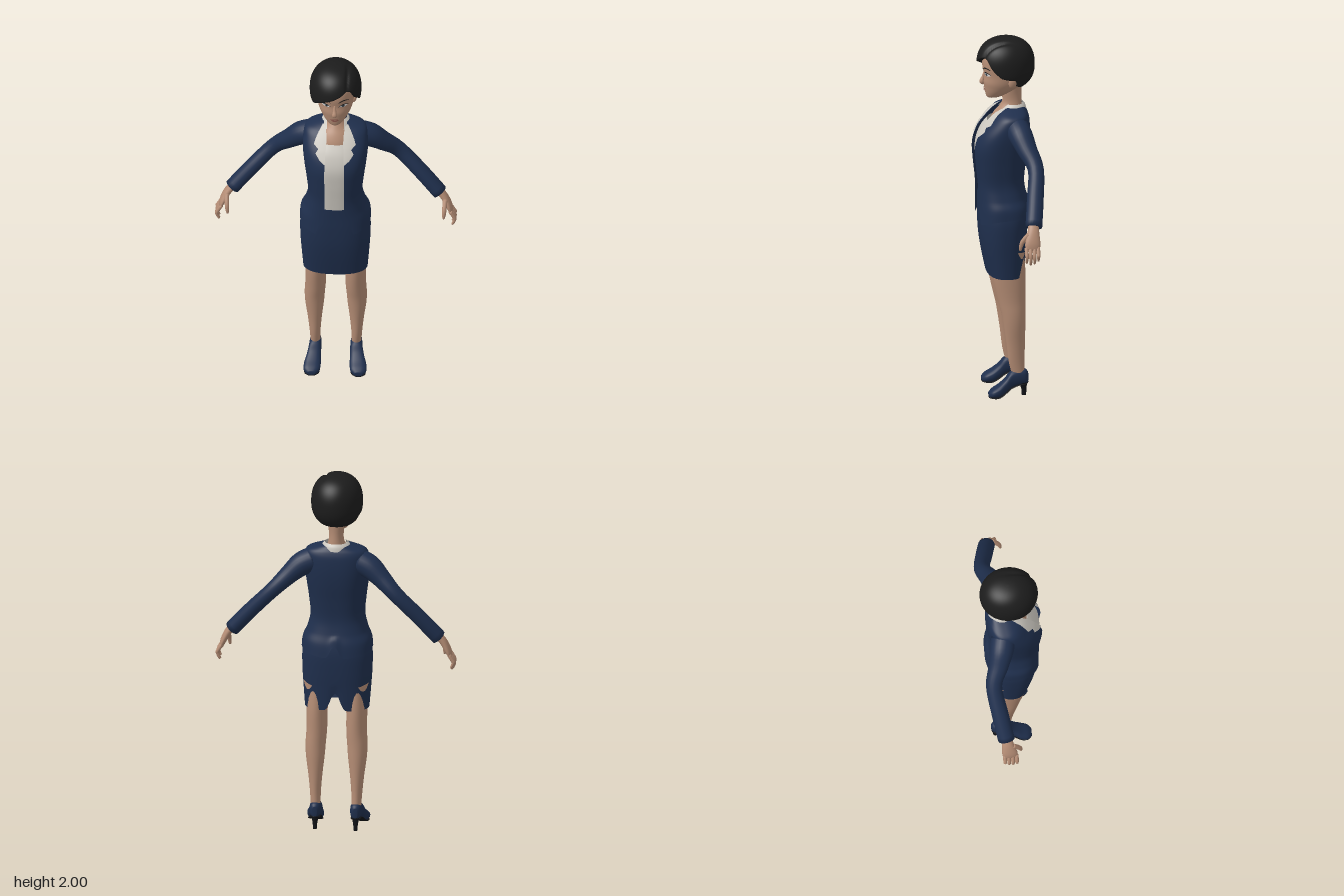
import * as THREE from 'three';

const mat = (name, color) => {
  const m = new THREE.MeshStandardMaterial({ color, side: THREE.DoubleSide });
  m.name = name;
  return m;
};
const V = (x, y, z) => new THREE.Vector3(x, y, z);
const spow = (v, p) => Math.sign(v) * Math.abs(v) ** p;

// Catmull-Rom smoothing of a table of cross-section numbers
function smooth(rows, k = 5) {
  const out = [];
  for (let i = 0; i < rows.length - 1; i++) {
    const [a, b, c, d] = [rows[Math.max(i - 1, 0)], rows[i], rows[i + 1], rows[Math.min(i + 2, rows.length - 1)]];
    for (let j = 0; j < k; j++) {
      const t = j / k;
      out.push(b.map((p, n) => 0.5 * (2 * p + (c[n] - a[n]) * t + (2 * a[n] - 5 * p + 4 * c[n] - d[n]) * t * t
        + (3 * p - a[n] - 3 * c[n] + d[n]) * t ** 3)));
    }
  }
  out.push(rows[rows.length - 1]);
  return out;
}

// Surface through rows of points, optionally closed around and capped at the ends
function surface(rows, closed = false, caps = false) {
  const n = rows[0].length, pos = rows.flat().flatMap(p => [p.x, p.y, p.z]), idx = [];
  for (let i = 0; i < rows.length - 1; i++) {
    for (let j = 0; j < (closed ? n : n - 1); j++) {
      const a = i * n + j, b = i * n + (j + 1) % n;
      idx.push(a, b, b + n, a, b + n, a + n);
    }
  }
  if (caps) for (const end of [0, rows.length - 1]) {
    const mid = rows[end].reduce((s, p) => s.add(p), V(0, 0, 0)).divideScalar(n);
    const c = pos.length / 3;
    pos.push(mid.x, mid.y, mid.z);
    for (let j = 0; j < n; j++) {
      const a = end * n + j, b = end * n + (j + 1) % n;
      idx.push(...(end ? [a, b, c] : [b, a, c]));
    }
  }
  const g = new THREE.BufferGeometry();
  g.setAttribute('position', new THREE.Float32BufferAttribute(pos, 3));
  g.setIndex(idx);
  g.computeVertexNormals();
  return g;
}

// Upright body: rows of [y, half width, front z, back z], rounded-square exponent n
const body = (rows, n = 2.3) => ({ rows: smooth(rows), n });
const ringPoint = ([y, rx, zf, zb], a, n) =>
  V(rx * spow(Math.sin(a), 2 / n), y, (zf + zb) / 2 + (zf - zb) / 2 * spow(Math.cos(a), 2 / n));
function hull({ rows, n }, { gap, rise, caps = false, seg = 96 } = {}) {
  const y0 = rows[0][0];
  return surface(rows.map(r => {
    const a0 = gap ? Math.asin(Math.min(1, gap(r[0]) / r[1]) ** (n / 2)) : 0;
    const pts = [];
    for (let j = 0; j < (gap ? seg + 1 : seg); j++) {
      const a = a0 + (2 * Math.PI - 2 * a0) * j / seg, p = ringPoint(r, a, n);
      if (rise) p.y += rise(a) * Math.max(0, 1 - (r[0] - y0) / 0.15);
      pts.push(p);
    }
    return pts;
  }), !gap, caps);
}
function sample({ rows }, y) {
  let i = 0;
  while (i < rows.length - 2 && rows[i + 1][0] < y) i++;
  const t = THREE.MathUtils.clamp((y - rows[i][0]) / (rows[i + 1][0] - rows[i][0]), 0, 1);
  return rows[i].map((v, k) => v + (rows[i + 1][k] - v) * t);
}

// Thin strip between two edges of [x, y] points, draped on the front of a body
function drape(b, edgeA, edgeB, off) {
  return surface(edgeA.map((p, i) => Array.from({ length: 7 }, (_, j) => {
    const x = THREE.MathUtils.lerp(p[0], edgeB[i][0], j / 6), y = THREE.MathUtils.lerp(p[1], edgeB[i][1], j / 6);
    const [, rx, zf, zb] = sample(b, y);
    const d = Math.max(0, 1 - Math.min(1, Math.abs(x / rx)) ** b.n) ** (1 / b.n);
    return V(x, y, (zf + zb) / 2 + (zf - zb) / 2 * d + off);
  })));
}
function lens(b, cx, cy, w, up, down, off) {
  const ts = Array.from({ length: 13 }, (_, i) => i / 6 - 1);
  const edge = h => ts.map(t => [cx + w * t, cy + h * (1 - t * t)]);
  return drape(b, edge(-down), edge(up), off);
}

// Limb along rows of [x, y, z, in-plane radius, z radius]
function limb(points, seg = 24) {
  const rows = smooth(points, 4), P = rows.map(r => V(r[0], r[1], r[2]));
  return surface(rows.map((r, i) => {
    const t = P[Math.min(i + 1, P.length - 1)].clone().sub(P[Math.max(i - 1, 0)]).normalize();
    const u = V(0, 0, 1).addScaledVector(t, -t.z).normalize(), v = t.clone().cross(u);
    return Array.from({ length: seg }, (_, j) => {
      const a = j / seg * 2 * Math.PI;
      return P[i].clone().addScaledVector(u, Math.cos(a) * r[4]).addScaledVector(v, Math.sin(a) * r[3]);
    });
  }), true, true);
}

// Shoe form along z: rows of [z, half width, bottom, top, centre x]
const shoeForm = (rows, s) => surface(smooth(rows, 5).map(([z, w, lo, hi, cx]) => Array.from({ length: 24 }, (_, j) => {
  const a = j / 24 * 2 * Math.PI;
  return V(s * cx - w * spow(Math.sin(a), 0.8), (lo + hi) / 2 + (hi - lo) / 2 * spow(Math.cos(a), 0.8), z);
})), true, true);

export function createModel() {
  const root = new THREE.Group();
  const skin = mat('skin', 0xb58d75), navy = mat('navy cloth', 0x1f2f4d), cream = mat('shirt cloth', 0xcbc7bf),
    black = mat('black hair', 0x1c1c1c), white = mat('eye white', 0xe6e6e6), iris = mat('iris', 0x566470),
    lip = mat('lips', 0x985f54), sole = mat('sole', 0x121418);
  const add = (name, geo, m) => {
    const o = new THREE.Mesh(geo, m);
    o.name = name;
    root.add(o);
    return o;
  };
  const bump = (a, c, w) => Math.exp(-(((a - c) / w) ** 2));

  // Head, neck and chest
  const head = body([[1.664, 0.014, 0.082, 0.05], [1.674, 0.036, 0.094, 0.01], [1.7, 0.06, 0.101, -0.04],
    [1.73, 0.079, 0.106, -0.085], [1.76, 0.092, 0.11, -0.115], [1.8, 0.1, 0.107, -0.133], [1.85, 0.104, 0.115, -0.14],
    [1.9, 0.099, 0.108, -0.13], [1.95, 0.072, 0.07, -0.1], [1.98, 0.02, 0.01, -0.03]], 2.1);
  add('head', hull(head, { caps: true }), skin);
  add('neck', hull(body([[1.48, 0.1, 0.085, -0.09], [1.53, 0.1, 0.075, -0.1], [1.57, 0.085, 0.055, -0.1], [1.605, 0.055, 0.028, -0.098],
    [1.64, 0.041, 0.008, -0.096], [1.69, 0.04, 0.01, -0.095], [1.76, 0.05, 0.01, -0.1]], 2), { caps: true }), skin);
  add('nose', limb([[0, 1.812, 0.1, 0.007, 0.008], [0, 1.78, 0.11, 0.009, 0.01], [0, 1.756, 0.118, 0.014, 0.013],
    [0, 1.744, 0.11, 0.01, 0.007]], 16), skin);
  add('upperLip', lens(head, 0, 1.715, 0.027, 0.008, 0, 0.004), lip);
  add('lowerLip', lens(head, 0, 1.714, 0.023, 0, 0.01, 0.005), lip);

  for (const s of [1, -1]) {
    // Eyes, lashes, brows and ears
    add('eye', lens(head, s * 0.046, 1.808, 0.023, 0.011, 0.008, 0.002), white);
    add('iris', lens(head, s * 0.045, 1.809, 0.009, 0.01, 0.008, 0.004), iris);
    add('pupil', lens(head, s * 0.045, 1.809, 0.004, 0.005, 0.004, 0.005), black);
    const arc = (y, h) => [-1, -0.5, 0, 0.5, 1].map(t => [s * (0.047 + 0.026 * t), y + h * (1 - t * t) + 0.003 * t]);
    add('eyelash', drape(head, arc(1.807, 0.011), arc(1.809, 0.015), 0.005), black);
    add('eyebrow', drape(head, arc(1.835, 0.008), arc(1.839, 0.011), 0.003), black);
    const ear = add('ear', new THREE.SphereGeometry(1, 20, 14), skin);
    ear.scale.set(0.013, 0.036, 0.022);
    ear.position.set(s * 0.101, 1.777, -0.034);
    ear.rotation.set(-0.2, 0, -s * 0.15);
  }

  // Short side-parted hair: lower border height by azimuth (0 front, 90 the model's left)
  const border = [[-180, 1.735], [-135, 1.735], [-115, 1.75], [-104, 1.795], [-90, 1.8], [-75, 1.795], [-60, 1.8], [-45, 1.822],
    [-30, 1.843], [-15, 1.86], [0, 1.876], [15, 1.895], [30, 1.918], [42, 1.905], [58, 1.85], [75, 1.81], [90, 1.8], [104, 1.795],
    [115, 1.75], [135, 1.735], [180, 1.735]];
  const edgeY = d => {
    const i = Math.min(border.length - 2, border.findIndex((b, k) => k < border.length - 1 && d <= border[k + 1][0]));
    const [[a, p], [b, q]] = [border[i], border[i + 1]];
    return p + (q - p) * (d - a) / (b - a);
  };
  const hairRows = [];
  const steps = 28;
  for (let i = steps + 1; i >= 0; i--) {
    hairRows.push(Array.from({ length: 96 }, (_, j) => {
      const d = j / 96 * 360 - 180, a = d * Math.PI / 180, yb = edgeY(d);
      const end = Math.acos((yb - 1.85) / (yb > 1.85 ? 0.15 : 0.14));
      const phi = Math.max(0.001, end * Math.min(1, i / steps)), c = Math.cos(phi);
      let r = (1 - Math.abs(c) ** 2.35) ** (1 / 2.35);
      if (i > steps) r *= 0.68;
      const x = 0.138 * r * Math.sin(a), z = -0.01 + 0.156 * r * Math.cos(a);
      const part = z > -0.08 ? bump(x, 0.066, 0.01) * Math.min(1, (z + 0.08) * 10) : 0;
      return V(x * (1 - 0.04 * part), 1.85 + (c > 0 ? 0.15 : 0.14) * c - 0.008 * part, z - 0.004 * part);
    }));
  }
  add('hair', surface(hairRows, true), black);

  // Shirt, jacket and collar
  add('shirt', hull(body([[1.08, 0.12, 0.125, -0.07], [1.2, 0.125, 0.137, -0.085], [1.3, 0.135, 0.148, -0.095], [1.4, 0.145, 0.152, -0.105],
    [1.48, 0.14, 0.127, -0.11], [1.535, 0.11, 0.088, -0.105]], 2.4)), cream);
  const jacket = body([[0.968, 0.19, 0.153, -0.143], [1.05, 0.184, 0.15, -0.135], [1.12, 0.163, 0.15, -0.118], [1.2, 0.145, 0.153, -0.106],
    [1.3, 0.153, 0.163, -0.115], [1.4, 0.166, 0.167, -0.13], [1.48, 0.174, 0.14, -0.136], [1.55, 0.172, 0.088, -0.133],
    [1.585, 0.158, 0.055, -0.124], [1.605, 0.115, 0.03, -0.113], [1.62, 0.066, 0.005, -0.104]], 2.45);
  add('jacket', hull(jacket, {
    gap: y => y < 1.13 ? 0.053 + (1.13 - y) * 0.3 : y > 1.45 ? 0.053 + (y - 1.45) * 0.05 : 0.053,
    rise: a => 0.02 * (1 - Math.cos(2 * a)) + 0.012 * (1 - Math.cos(a)) + 0.07 * bump(a, Math.PI, 0.1),
  }), navy);
  add('collar', hull(body([[1.595, 0.085, 0.04, -0.121], [1.617, 0.074, 0.018, -0.115], [1.632, 0.06, 0.002, -0.104]], 2),
    { gap: () => 0.045 }), cream);
  for (const s of [1, -1]) {
    const side = pts => pts.map(([x, y]) => [s * x, y]);
    add('lapel', drape(jacket,
      side([[0.05, 1.455], [0.05, 1.475], [0.049, 1.505], [0.047, 1.52], [0.046, 1.53], [0.045, 1.56], [0.047, 1.59], [0.053, 1.612]]),
      side([[0.054, 1.453], [0.08, 1.472], [0.102, 1.5], [0.088, 1.522], [0.112, 1.54], [0.103, 1.565], [0.088, 1.592], [0.066, 1.616]]),
      0.008), cream);
  }

  // Skirt with a rear slit and two torn openings
  const skirt = body([[0.68, 0.172, 0.096, -0.105], [0.8, 0.181, 0.12, -0.113], [0.9, 0.187, 0.134, -0.12], [1, 0.186, 0.139, -0.122],
    [1.08, 0.165, 0.139, -0.11], [1.14, 0.138, 0.14, -0.09]], 2.4);
  add('skirt', hull(skirt, { rise: a => 0.1 * bump(a, Math.PI, 0.14) }), navy);
  for (const s of [1, -1]) {
    const rows = [];
    for (let i = 0; i <= 16; i++) {
      const t = i / 8 - 1, a = s * THREE.MathUtils.degToRad(127 + 15 * t);
      rows.push([0, 0.5, 1].map(k => {
        const y = 0.825 - 0.008 * t - 0.036 * k * (1 - t * t);
        const p = ringPoint(sample(skirt, y), a, skirt.n);
        return V(p.x * 1.018, y, p.z * 1.03);
      }));
    }
    add('tear', surface(rows), skin);
  }

  for (const s of [1, -1]) {
    const L = (name, pts, m, seg) => add(name, limb(pts.map(([x, ...r]) => [s * x, ...r]), seg), m);
    // Sleeve and hand
    L('sleeve', [[0.125, 1.525, -0.05, 0.066, 0.066], [0.185, 1.498, -0.065, 0.064, 0.064], [0.25, 1.443, -0.088, 0.051, 0.054],
      [0.335, 1.363, -0.121, 0.041, 0.043], [0.45, 1.24, -0.1, 0.041, 0.045], [0.553, 1.12, -0.076, 0.041, 0.045]], navy);
    L('hand', [[0.55, 1.13, -0.074, 0.021, 0.028], [0.578, 1.095, -0.07, 0.02, 0.032], [0.603, 1.045, -0.063, 0.017, 0.041],
      [0.614, 1.012, -0.06, 0.011, 0.038]], skin);
    for (let i = 0; i < 4; i++) {
      const z = -0.09 + 0.021 * i, drop = [0.015, 0, -0.005, 0.006][i];
      L('finger', [[0.61, 1.025, z, 0.01, 0.0105], [0.631, 0.99, z, 0.01, 0.01], [0.634, 0.965 + drop, z, 0.009, 0.009],
        [0.622, 0.938 + drop, z, 0.006, 0.006]], skin, 12);
    }
    L('thumb', [[0.583, 1.09, -0.045, 0.013, 0.014], [0.58, 1.05, -0.012, 0.012, 0.013], [0.578, 1.02, -0.002, 0.01, 0.01],
      [0.576, 0.998, 0, 0.006, 0.006]], skin, 12);

    // Leg
    L('leg', [[0.109, 0.12, -0.062, 0.026, 0.034], [0.111, 0.2, -0.052, 0.029, 0.043], [0.112, 0.3, -0.047, 0.038, 0.05],
      [0.113, 0.4, -0.041, 0.05, 0.058], [0.112, 0.47, -0.035, 0.054, 0.064], [0.107, 0.55, -0.026, 0.055, 0.074],
      [0.106, 0.68, -0.014, 0.056, 0.088], [0.1, 0.85, 0, 0.06, 0.09]], skin, 32);

    // Heeled shoe
    const shoe = [[-0.114, 0.012, 0.075, 0.13, 0.109], [-0.098, 0.027, 0.066, 0.147, 0.109], [-0.06, 0.032, 0.062, 0.148, 0.109],
      [-0.022, 0.034, 0.048, 0.138, 0.111], [0.01, 0.039, 0.024, 0.1, 0.116], [0.045, 0.045, 0.005, 0.07, 0.122],
      [0.08, 0.041, 0.004, 0.048, 0.125], [0.1, 0.02, 0.006, 0.03, 0.125]];
    add('shoe', shoeForm(shoe, s), navy);
    add('shoeSole', shoeForm(shoe.map(([z, w, lo, , cx]) => [z, w * 0.9, lo - 0.004, lo + 0.004, cx]), s), sole);
    L('shoeHeel', [[0.109, 0, -0.092, 0.011, 0.012], [0.109, 0.035, -0.092, 0.013, 0.014], [0.109, 0.085, -0.086, 0.024, 0.026]], sole, 16);
  }
  return root;
}
